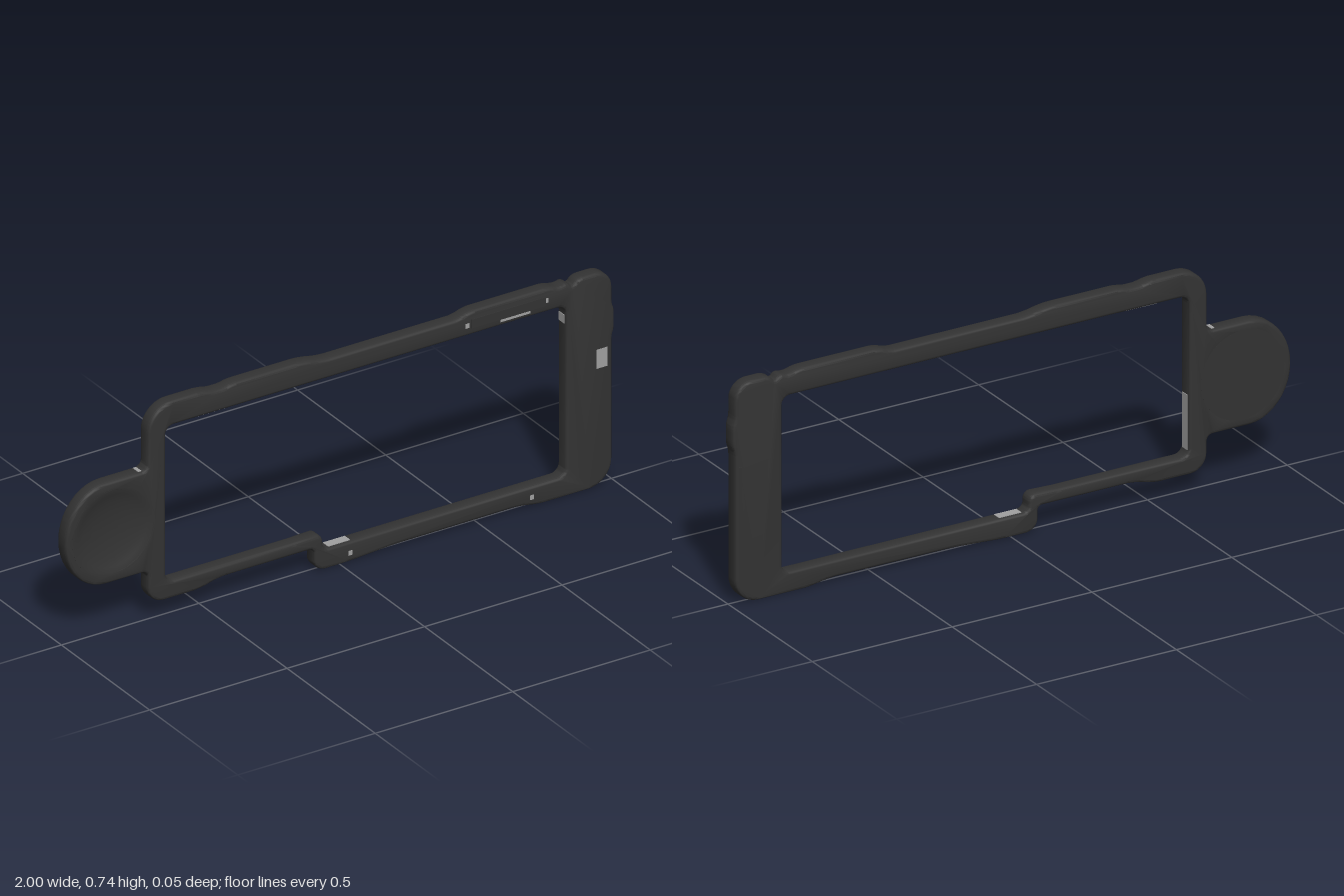
import * as THREE from 'three';
import { toCreasedNormals } from 'three/addons/utils/BufferGeometryUtils.js';

// Draws a closed outline through [x, y, cornerRadius] points
function roundedOutline(path, pts) {
  const n = pts.length;
  pts.forEach(([x, y, r], i) => {
    const p = new THREE.Vector2(x, y);
    const a = new THREE.Vector2(...pts[(i + n - 1) % n].slice(0, 2));
    const b = new THREE.Vector2(...pts[(i + 1) % n].slice(0, 2));
    const from = p.clone().lerp(a, Math.min(r / p.distanceTo(a), 0.499));
    const to = p.clone().lerp(b, Math.min(r / p.distanceTo(b), 0.499));
    const c1 = from.clone().lerp(p, 0.5523);
    const c2 = to.clone().lerp(p, 0.5523);
    if (i === 0) path.moveTo(from.x, from.y);
    else path.lineTo(from.x, from.y);
    path.bezierCurveTo(c1.x, c1.y, c2.x, c2.y, to.x, to.y);
  });
  path.closePath();
  return path;
}

export function createModel() {
  const group = new THREE.Group();
  const dark = new THREE.MeshStandardMaterial({ color: 0x333333 });
  dark.name = 'charcoal';
  const light = new THREE.MeshStandardMaterial({ color: 0xa0a0a0 });
  light.name = 'lightGrey';

  const add = (name, geometry, material) => {
    const mesh = new THREE.Mesh(geometry, material);
    mesh.name = name;
    group.add(mesh);
    return mesh;
  };
  const box = (name, material, x, y, z, w, h, d) =>
    add(name, new THREE.BoxGeometry(w, h, d), material).position.set(x, y, z);

  // Frame with side pad, counterclockwise from the lower right corner
  const outline = roundedOutline(new THREE.Shape(), [
    [0.988, 0.008, 0.085], [0.988, 0.52, 0.02], [0.997, 0.54, 0.02],
    [0.997, 0.61, 0.02], [0.988, 0.63, 0.02], [0.988, 0.75, 0.1],
    [0.865, 0.75, 0.02], [0.845, 0.728, 0.008], [0.825, 0.746, 0.01],
    [0.795, 0.738, 0.02], [0.76, 0.75, 0.02], [0.47, 0.75, 0.02],
    [0.43, 0.735, 0.02], [-0.06, 0.735, 0.03], [-0.13, 0.75, 0.03],
    [-0.39, 0.75, 0.015], [-0.42, 0.743, 0.01], [-0.46, 0.743, 0.01],
    [-0.5, 0.752, 0.02], [-0.7, 0.752, 0.09], [-0.7, 0.537, 0.022],
    [-1, 0.537, 0.175], [-1, 0.187, 0.175], [-0.7, 0.187, 0.022],
    [-0.7, 0.07, 0.06], [-0.51, 0.07, 0.03], [-0.44, 0.09, 0.03],
    [-0.096, 0.09, 0.015], [-0.096, 0.008, 0.045], [0.04, 0.009, 0.02],
    [0.2, 0.02, 0.03], [0.65, 0.022, 0.03], [0.72, 0.008, 0.03],
  ]);

  // Stepped opening
  outline.holes.push(roundedOutline(new THREE.Path(), [
    [-0.635, 0.67, 0.03], [0.82, 0.67, 0.03], [0.82, 0.078, 0.03],
    [-0.064, 0.078, 0.022], [-0.064, 0.134, 0.025], [-0.17, 0.13, 0.01],
    [-0.635, 0.13, 0.03],
  ]));

  // Seat for the dished disc
  const seat = new THREE.Path();
  seat.absarc(-0.826, 0.362, 0.135, 0, Math.PI * 2, true);
  outline.holes.push(seat);

  const frame = new THREE.ExtrudeGeometry(outline, {
    depth: 0.03, curveSegments: 10, bevelEnabled: true,
    bevelThickness: 0.01, bevelSize: 0.01, bevelOffset: -0.01, bevelSegments: 3,
  });
  frame.translate(0, 0, -0.015);
  add('frame', toCreasedNormals(frame, 0.6), dark);

  // Concave disc: flat back, bowl-shaped front
  const profile = [[0, -0.0252], [0.15, -0.0252], [0.15, 0.0252], [0.14, 0.0245],
    [0.125, 0.019], [0.1, 0.013], [0.07, 0.008], [0.035, 0.005], [0, 0.004]];
  const disc = new THREE.LatheGeometry(profile.map((p) => new THREE.Vector2(...p)), 64);
  disc.rotateX(Math.PI / 2);
  const dish = add('thumbDish', toCreasedNormals(disc, 0.6), dark);
  dish.position.set(-0.826, 0.362, 0);

  // Switch strip and raised ridges
  box('switchStrip', dark, 0.61, 0.708, 0.024, 0.27, 0.03, 0.006);
  box('switchTab', light, 0.635, 0.687, 0.024, 0.11, 0.008, 0.004);
  box('backRidge', dark, 0.97, 0.36, -0.0245, 0.012, 0.22, 0.005);

  // Light window and small pins on the front face
  box('window', light, 0.949, 0.453, 0.0235, 0.04, 0.066, 0.005);
  for (const [x, y] of [[0.46, 0.705], [0.747, 0.71], [0.035, 0.04], [0.695, 0.042]]) {
    box('pin', light, x, y, 0.0245, 0.014, 0.016, 0.003);
  }

  // Light contacts on the inner walls and beside the pad
  box('leftContact', light, -0.635, 0.24, 0, 0.004, 0.19, 0.03);
  box('topContact', light, -0.47, 0.67, 0, 0.11, 0.004, 0.03);
  box('bottomContact', light, 0.0, 0.078, 0, 0.08, 0.004, 0.03);
  box('rightContact', light, 0.82, 0.62, 0, 0.004, 0.03, 0.03);
  box('padContact', light, -0.725, 0.537, 0, 0.012, 0.004, 0.03);

  return group;
}
